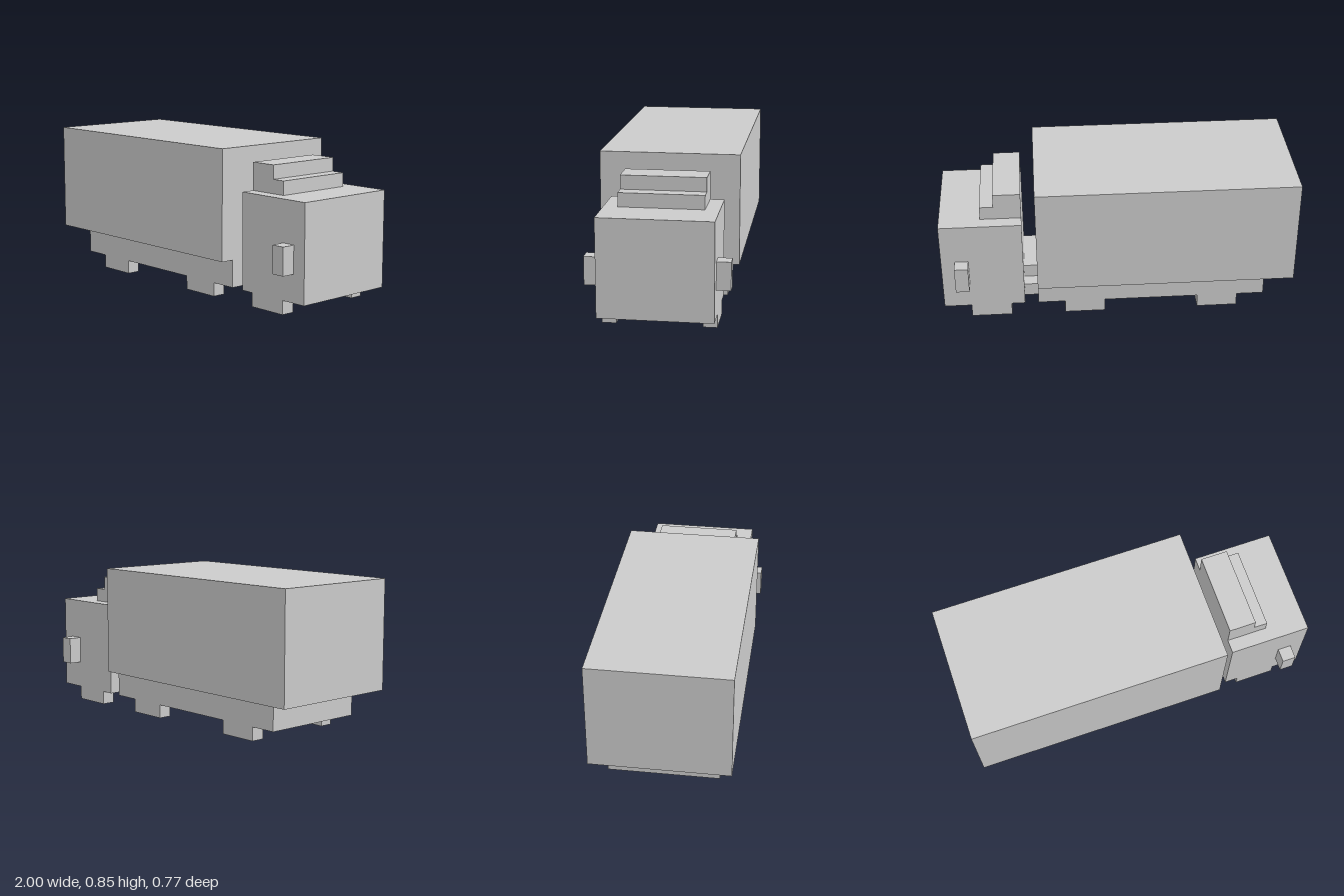
import * as THREE from 'three';

// All parts sit on a block grid: 26 blocks make the 2-unit length
const U = 1 / 13;

export function createModel() {
  const truck = new THREE.Group();
  truck.name = 'boxTruck';
  const material = new THREE.MeshStandardMaterial({ color: 0xcccccc, flatShading: true });

  // Box spanning the given block ranges
  function block(name, [x0, x1], [y0, y1], [z0, z1]) {
    const geometry = new THREE.BoxGeometry((x1 - x0) * U, (y1 - y0) * U, (z1 - z0) * U);
    const mesh = new THREE.Mesh(geometry, material);
    mesh.name = name;
    mesh.position.set((x0 + x1) / 2 * U, (y0 + y1) / 2 * U, (z0 + z1) / 2 * U);
    truck.add(mesh);
  }

  // Trailer
  block('cargoBox', [-13, 6], [3, 11], [-5, 5]);
  block('trailerChassis', [-11, 6], [1, 3], [-4, 4]);

  // Stepped coupling between trailer and cab
  block('couplingBase', [6, 7], [1, 2], [-3, 3]);
  block('couplingTop', [6, 7], [2, 3], [-2, 2]);

  // Cab with stepped wind deflector
  block('cab', [7, 13], [1, 8], [-4, 4]);
  block('deflectorBack', [7, 9], [8, 10], [-3, 3]);
  block('deflectorStep', [9, 10], [8, 9], [-3, 3]);

  // Wheels and mirrors on both sides
  for (const [side, near, far] of [['front', 3, 4], ['back', -4, -3]]) {
    [-9, 1, 8].forEach((x, i) => block(`${side}Wheel${i + 1}`, [x, x + 3], [0, 1], [near, far]));
  }
  block('frontMirror', [11, 12], [3, 5], [4, 5]);
  block('backMirror', [11, 12], [3, 5], [-5, -4]);

  return truck;
}
